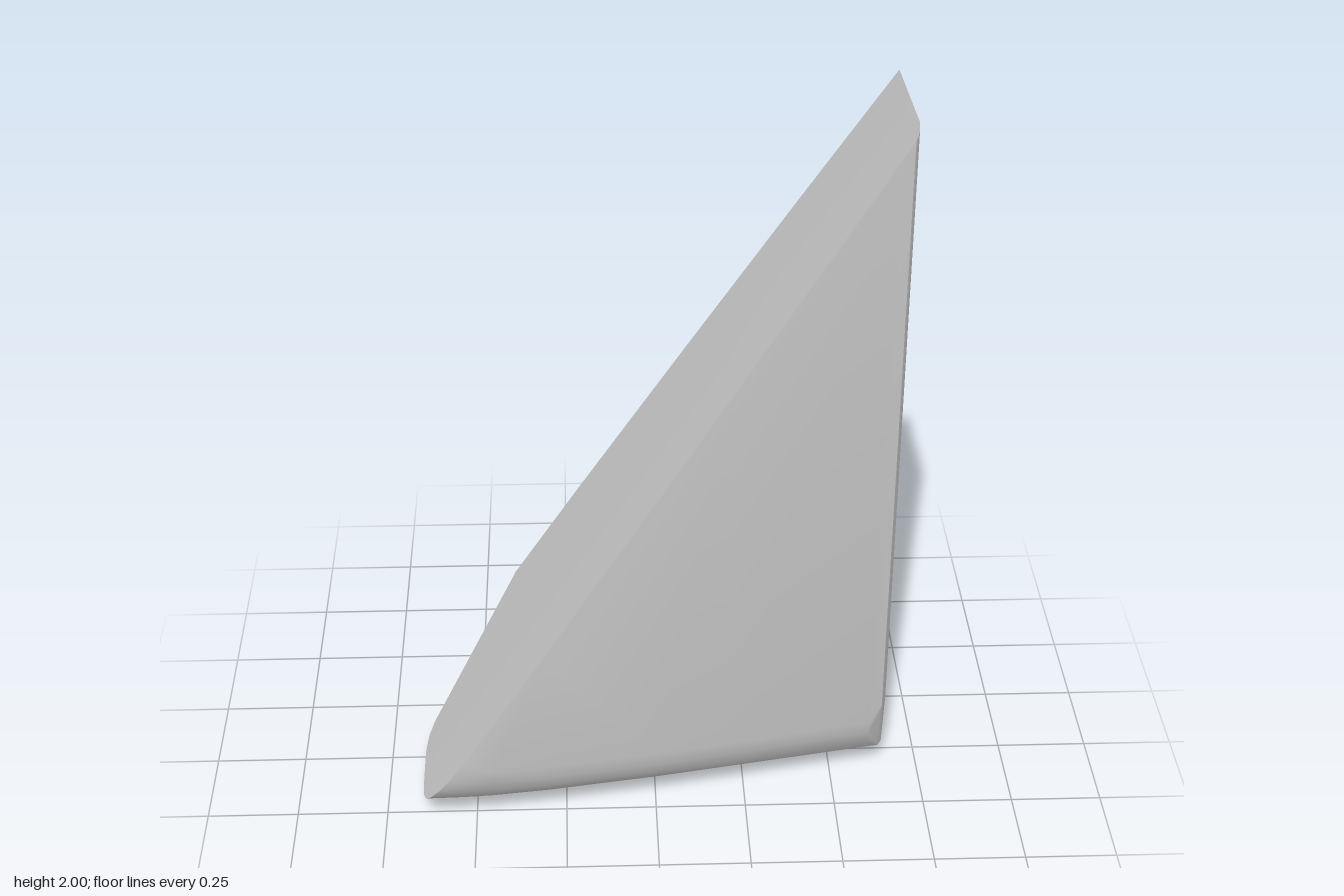
import * as THREE from 'three';
import { ConvexGeometry } from 'three/addons/geometries/ConvexGeometry.js';
import { toCreasedNormals } from 'three/addons/utils/BufferGeometryUtils.js';

// Height of the sloping cut face above a point of the plan
const slopeY = (x, z) => 2 - (0.65 - x) * 1.499 + 0.065 * (Math.min(z, 0.15) - 0.15);

export function createModel() {
  const stone = new THREE.MeshStandardMaterial({ color: 0xc8c8c8 });
  stone.name = 'paleGrey';
  const points = [];
  const add = (x, y, z) => points.push(new THREE.Vector3(x, y, z));

  // Front wall: plan stations [x, z], each rolling under at the foot [y, inset]
  const front = [[0.6, 0.181], [0.4, 0.217], [0.2, 0.253], [0, 0.286], [-0.3, 0.326],
    [-0.45, 0.34], [-0.53, 0.343], [-0.57, 0.336], [-0.6, 0.322], [-0.625, 0.3]];
  const roll = [[0.2, 0], [0.155, 0.009], [0.12, 0.024], [0.09, 0.044], [0.07, 0.066], [0.046, 0.11]];
  for (const [x, z] of front) {
    const top = slopeY(x, z);
    add(x, top, z);
    const lean = 0.04 * Math.max(0, top - 0.2) / 1.8;
    for (const [y, inset] of roll) if (y < top) add(x, y, z - lean - inset);
  }

  // Narrow rounded corner between the front wall and the upright end
  for (const [x, z] of [[0.635, 0.174], [0.642, 0.162], [0.647, 0.14]]) add(x, slopeY(x, z), z);
  add(0.635, 0.25, 0.136);
  add(0.637, 0.07, 0.077);

  // Rounded tip at the low end
  for (const [x, z] of [[-0.64, 0.275], [-0.648, 0.24], [-0.65, 0.2], [-0.652, 0.03],
    [-0.645, -0.04], [-0.63, -0.08]]) {
    add(x, slopeY(x, z), z);
  }
  add(-0.645, 0.028, 0.14);
  add(-0.645, 0.026, 0.02);
  add(-0.635, 0.026, -0.055);

  // Back wall: gently bowed upper edge down to the chamfer corner
  for (const [x, z] of [[0.4, -0.325], [0.1, -0.339], [-0.2, -0.346], [-0.39, -0.34]]) {
    add(x, slopeY(x, z), z);
  }

  // Flat upright end
  for (const [y, z] of [[2, 0.11], [0.25, 0.09], [0.065, 0.05], [0.015, -0.2],
    [0.04, -0.275], [0.5, -0.3], [1.97, -0.306]]) add(0.65, y, z);

  // Shallow keel of the underside
  add(0.35, 0.004, -0.13);
  add(0.1, 0, -0.07);
  add(-0.3, 0.009, -0.02);

  const shard = new THREE.Mesh(toCreasedNormals(new ConvexGeometry(points), 0.45), stone);
  shard.name = 'wedgeShard';
  const group = new THREE.Group();
  group.name = 'stoneWedge';
  group.add(shard);
  return group;
}
